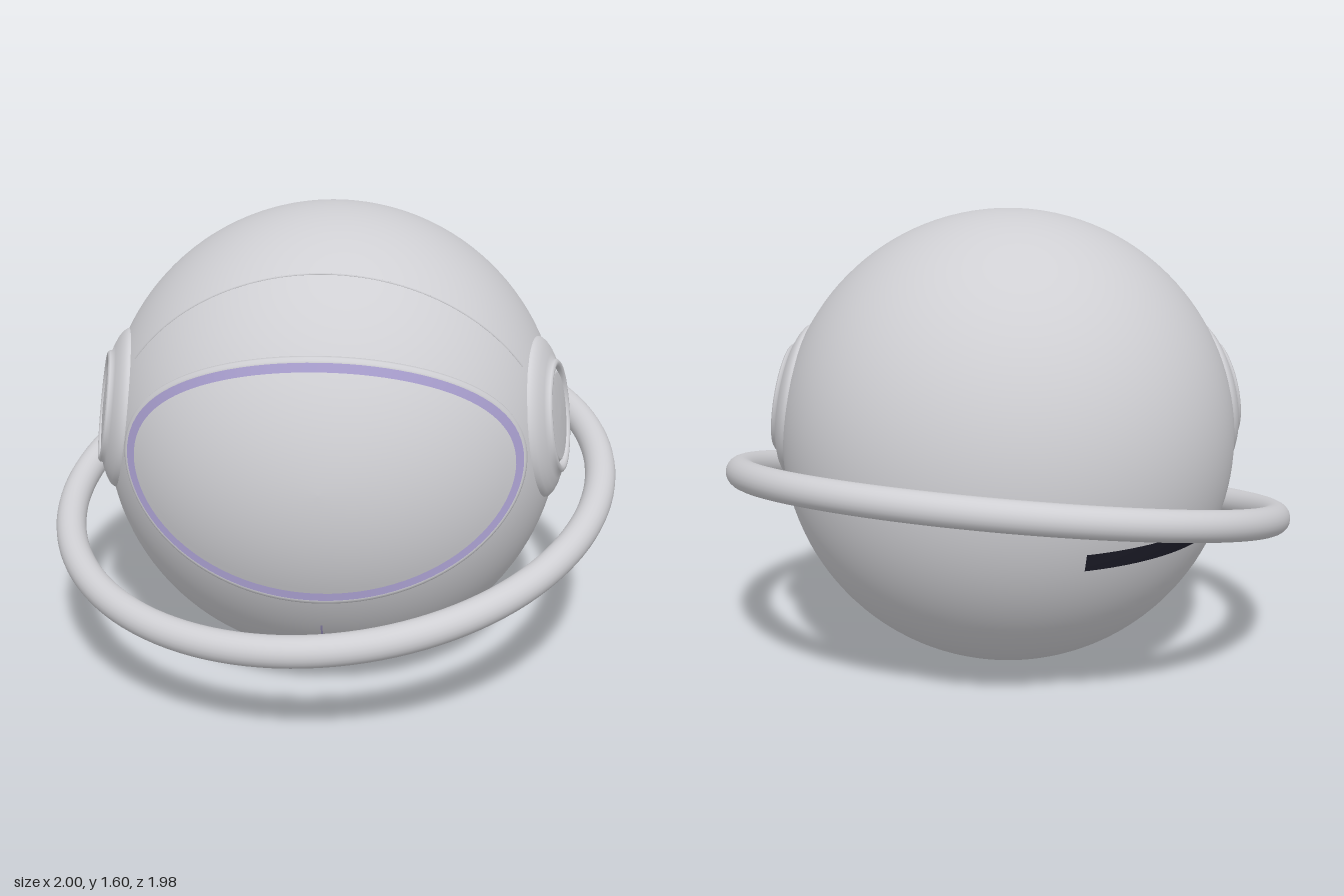
import * as THREE from 'three';

const shellMat = new THREE.MeshStandardMaterial({ color: 0xcfcfd3 });
shellMat.name = 'pale grey';
const trimMat = new THREE.MeshStandardMaterial({ color: 0xaaa0d0 });
trimMat.name = 'lavender';
const darkMat = new THREE.MeshStandardMaterial({ color: 0x1c1c28 });
darkMat.name = 'near black';

const R = 0.8; // helmet radius, also the height of its centre

function add(parent, name, geometry, material) {
  const mesh = new THREE.Mesh(geometry, material);
  mesh.name = name;
  parent.add(mesh);
  return mesh;
}

// Skin through oval loops wrapped on the sphere; each loop is [halfWidth, halfHeight, radius]
function ovalBand(loops, n = 96) {
  const pos = [], index = [];
  loops.forEach(([a, b, r], k) => {
    for (let j = 0; j < n; j++) {
      const t = (j / n) * Math.PI * 2;
      const x = a * Math.cos(t), y = 0.08 + b * Math.sin(t);
      const p = new THREE.Vector3(x, y, Math.sqrt(0.6561 - x * x - y * y)).setLength(r);
      pos.push(p.x, p.y, p.z);
      if (k === 0) continue;
      const o = (k - 1) * n, i = k * n, m = (j + 1) % n;
      index.push(o + j, o + m, i + m, o + j, i + m, i + j);
    }
  });
  const g = new THREE.BufferGeometry();
  g.setAttribute('position', new THREE.Float32BufferAttribute(pos, 3));
  g.setIndex(index);
  g.computeVertexNormals();
  return g;
}

export function createModel() {
  const model = new THREE.Group();
  model.name = 'ringedHelmet';
  const helmet = new THREE.Group();
  helmet.name = 'helmet';
  helmet.position.y = R;
  model.add(helmet);

  add(helmet, 'shell', new THREE.SphereGeometry(R, 96, 64), shellMat);

  // Visor: raised rim, coloured inner edge and bulging pane
  add(helmet, 'visorRim', ovalBand([
    [0.664, 0.408, 0.79], [0.661, 0.405, 0.812], [0.655, 0.398, 0.823],
    [0.648, 0.389, 0.826], [0.643, 0.384, 0.824],
  ]), shellMat);
  add(helmet, 'visorTrim', ovalBand([[0.643, 0.384, 0.824], [0.622, 0.36, 0.817]]), trimMat);
  const pane = [];
  for (let i = 0; i <= 20; i++) {
    const s = 1 - i / 20;
    pane.push([0.622 * s, 0.36 * s, 0.817 + 0.003 * (1 - s)]);
  }
  add(helmet, 'visorPane', ovalBand(pane), shellMat);

  // Fine seam over the brow, from ear to ear
  const seamGeo = new THREE.TorusGeometry(0.771, 0.004, 6, 96, 1.98);
  seamGeo.rotateZ(Math.PI / 2 - 0.99);
  const seam = add(helmet, 'browSeam', seamGeo, shellMat);
  seam.rotation.x = 0.284;
  seam.position.set(0, -0.058, 0.2);

  // Chin line and rear slot, thin skins on the shell
  add(helmet, 'chinLine',
    new THREE.SphereGeometry(0.802, 2, 16, Math.PI / 2 - 0.005, 0.01, 2.168, 0.351), trimMat);
  add(helmet, 'rearSlot',
    new THREE.SphereGeometry(0.802, 32, 4, 4.96, 0.8, 1.836, 0.079), darkMat);

  // Ear pads: domed collar, raised lip, groove and inner disc, pointing straight out
  const padProfile = [
    [0.28, 0.735], [0.276, 0.757], [0.265, 0.77], [0.245, 0.783], [0.215, 0.796],
    [0.196, 0.802], [0.194, 0.812], [0.187, 0.818], [0.178, 0.818], [0.17, 0.812],
    [0.166, 0.8],
  ].map(([r, h]) => new THREE.Vector2(r, h));
  const discProfile = [[0.166, 0.798], [0.157, 0.8], [0.153, 0.808], [0.147, 0.811], [0.08, 0.815], [0, 0.817]]
    .map(([r, h]) => new THREE.Vector2(r, h));
  for (const side of [1, -1]) {
    const ear = new THREE.Group();
    ear.name = side > 0 ? 'leftEarPad' : 'rightEarPad';
    ear.quaternion.setFromUnitVectors(new THREE.Vector3(0, 1, 0),
      new THREE.Vector3(side * 0.97, 0.143, 0.193).normalize());
    add(ear, 'earCollar', new THREE.LatheGeometry(padProfile, 64), shellMat);
    add(ear, 'earDisc', new THREE.LatheGeometry(discProfile, 64), shellMat);
    helmet.add(ear);
  }

  // Tilted ring floating around the helmet
  const ring = add(model, 'orbitRing', new THREE.TorusGeometry(0.953, 0.053, 24, 128), shellMat);
  ring.position.y = 0.587;
  ring.quaternion.setFromUnitVectors(new THREE.Vector3(0, 0, 1),
    new THREE.Vector3(-0.106, 1, 0.2).normalize());

  // Lathe profiles run from rim to axis, so faces point outward
  return model;
}
